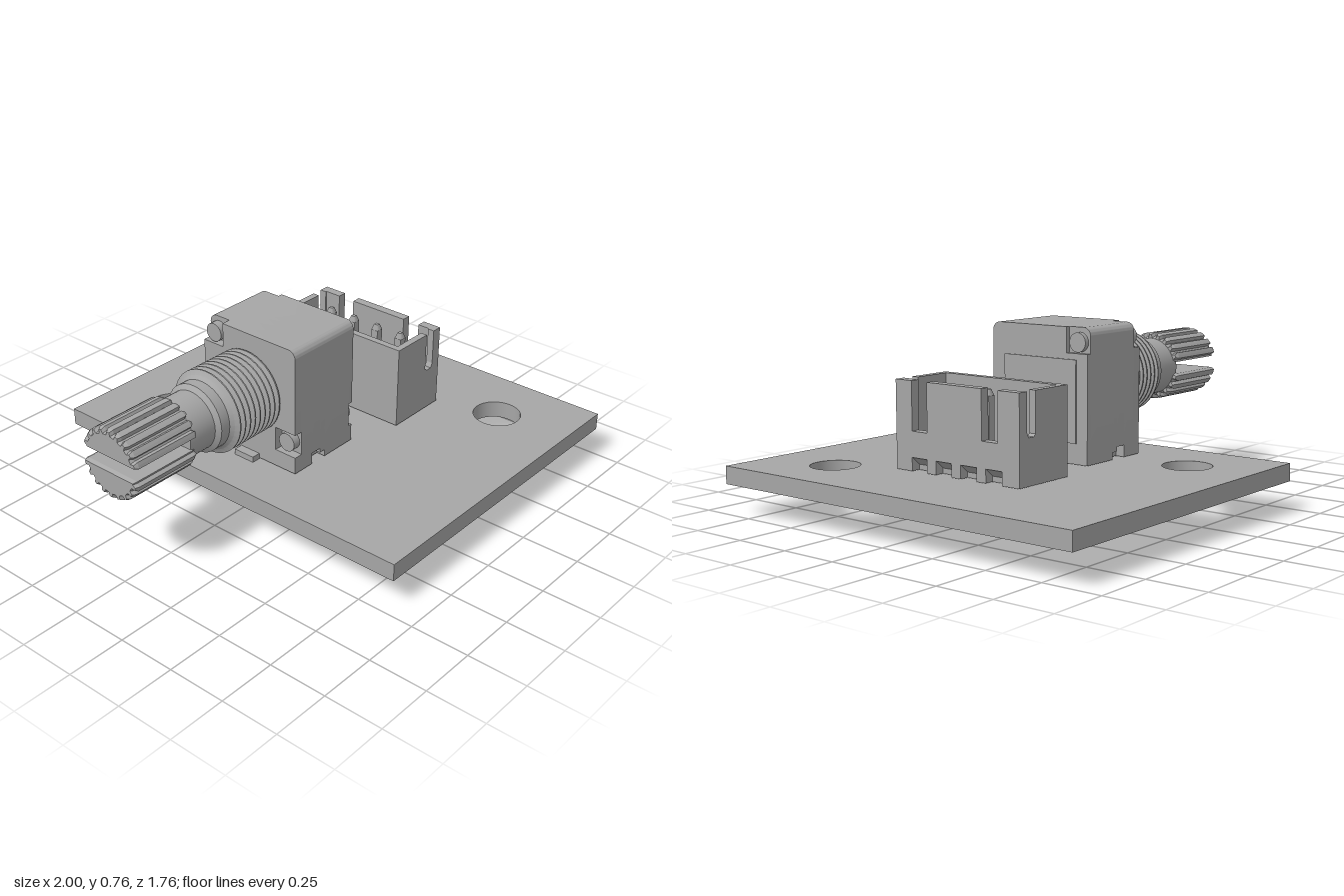
import * as THREE from 'three';
import { toCreasedNormals } from 'three/addons/utils/BufferGeometryUtils.js';

const AXIS_Y = 0.513, AXIS_Z = -0.04;

export function createModel() {
  const model = new THREE.Group();
  const grey = new THREE.MeshStandardMaterial({ color: 0xa6a6a6 });

  const add = (name, geometry, x = 0, y = 0, z = 0, parent = model) => {
    const mesh = new THREE.Mesh(geometry, grey);
    mesh.name = name;
    mesh.position.set(x, y, z);
    parent.add(mesh);
    return mesh;
  };
  const group = (name) => {
    const g = new THREE.Group();
    g.name = name;
    model.add(g);
    return g;
  };
  // box given by its lower and upper corners
  const box = (name, [x0, y0, z0], [x1, y1, z1], parent) =>
    add(name, new THREE.BoxGeometry(x1 - x0, y1 - y0, z1 - z0),
      (x0 + x1) / 2, (y0 + y1) / 2, (z0 + z1) / 2, parent);
  const polygon = (pts) => new THREE.Shape(pts.map(([a, b]) => new THREE.Vector2(a, b)));
  // shape drawn as (-z, y), swept from x0 to x1
  const sweepX = (shape, x0, x1, options = {}) =>
    new THREE.ExtrudeGeometry(shape, { depth: x1 - x0, bevelEnabled: false, curveSegments: 10, ...options })
      .rotateY(Math.PI / 2).translate(x0, 0, 0);
  // shape drawn as (x, y), swept from z0 to z1
  const sweepZ = (shape, z0, z1) =>
    new THREE.ExtrudeGeometry(shape, { depth: z1 - z0, bevelEnabled: false }).translate(0, 0, z0);

  // circuit board with two mounting holes
  const board = polygon([[-0.46, -0.88], [1, -0.88], [1, 0.88], [-0.46, 0.88]]);
  for (const [x, z] of [[-0.155, -0.58], [0.715, 0.545]]) {
    board.holes.push(new THREE.Path().absarc(x, -z, 0.103, 0, Math.PI * 2, true));
  }
  const boardGeo = new THREE.ExtrudeGeometry(board, { depth: 0.075, bevelEnabled: false, curveSegments: 24 });
  add('board', toCreasedNormals(boardGeo.rotateX(-Math.PI / 2), 0.6), 0, 0.125, 0);

  // housing: slices along x, some with notched corners or a raised lower edge
  const housing = group('housing');
  const profile = (corners, lift) => {
    const s = new THREE.Shape(), l = -0.205, r = 0.285, top = 0.76, c = 0.035;
    const floor = 0.205;
    if (lift) {
      s.moveTo(l + 0.04, floor);
      s.lineTo(r - 0.04, floor).lineTo(r - 0.04, lift).lineTo(r, lift);
    } else {
      s.moveTo(l, floor);
      s.lineTo(r, floor);
    }
    if (corners) {
      s.lineTo(r, 0.655).lineTo(0.18, 0.655).lineTo(0.18, top);
    } else {
      s.lineTo(r, top - c).absarc(r - c, top - c, c, 0, Math.PI / 2);
    }
    s.lineTo(l + c, top).absarc(l + c, top - c, c, Math.PI / 2, Math.PI);
    if (corners) s.lineTo(l, 0.385).lineTo(-0.1, 0.385).lineTo(-0.1, 0.28).lineTo(l, 0.28);
    if (lift) s.lineTo(l, lift).lineTo(l + 0.04, lift);
    return s;
  };
  const slices = [
    [-0.235, -0.195, true, 0], [-0.195, -0.13, false, 0], [-0.13, -0.08, false, 0.255],
    [-0.08, -0.05, false, 0.235], [-0.05, 0.105, false, 0], [0.105, 0.125, true, 0],
  ];
  for (const [x0, x1, corners, lift] of slices) {
    add('housingShell', toCreasedNormals(sweepX(profile(corners, lift), x0, x1), 0.5), 0, 0, 0, housing);
  }
  box('backPanel', [0.12, 0.29, -0.23], [0.13, 0.63, 0.14], housing);
  box('frontTab', [-0.275, 0.2, -0.09], [-0.23, 0.225, 0.01], housing);
  // rivets in the notched corners
  for (const [y, z] of [[0.7, -0.235], [0.333, 0.155]]) {
    for (const [x, length] of [[-0.21, 0.04], [0.113, 0.026]]) {
      const rivet = new THREE.CylinderGeometry(0.04, 0.04, length, 20).rotateZ(Math.PI / 2);
      add('rivet', rivet, x, y, z, housing);
    }
  }

  // threaded bushing and plain neck, turned around the shaft axis
  const turned = [[0.001, -0.7], [0.125, -0.7], [0.125, -0.565], [0.145, -0.55], [0.145, -0.505], [0.158, -0.49]];
  const turns = 9, pitch = 0.255 / turns;
  for (let i = 0; i < turns; i++) {
    const x = -0.49 + i * pitch;
    turned.push([0.178, x + pitch * 0.35], [0.178, x + pitch * 0.55], [0.152, x + pitch]);
  }
  const lathe = new THREE.LatheGeometry(turned.map(([r, x]) => new THREE.Vector2(r, x)), 40);
  add('threadedBushing', toCreasedNormals(lathe.rotateZ(-Math.PI / 2), 0.4), 0, AXIS_Y, AXIS_Z);

  // splined shaft end, two halves with a slot between
  const teeth = 9, half = 0.026, R = 0.15, r = 0.134;
  const start = Math.asin(half / r);
  const outline = [];
  for (let i = 0; i < teeth; i++) {
    const step = (Math.PI - 2 * start) / teeth;
    [[0, r], [0.2, r], [0.32, R], [0.6, R], [0.88, R], [1, r]].forEach(([f, rad]) => {
      const a = start + (i + f) * step;
      if (f < 1 || i === teeth - 1) outline.push([Math.cos(a) * rad, Math.sin(a) * rad]);
    });
  }
  for (const turn of [0, Math.PI]) {
    const geo = sweepX(polygon(outline), -0.985, -0.695, {
      bevelEnabled: true, bevelThickness: 0.015, bevelSize: 0.008, bevelOffset: -0.008, bevelSegments: 1,
    });
    add('splinedShaft', geo.rotateX(turn), 0, AXIS_Y, AXIS_Z);
  }

  // solder legs of the housing, thin bent strips with rounded ends
  for (const [z, bend] of [[0.09, 0], [-0.04, 0.022], [-0.17, 0]]) {
    const strip = polygon([[0.008, 0.13], [-0.008 - bend * 0.2, 0.085], [0.016, 0.018],
      [0.025, 0.018], [0.006 + bend * 0.2, 0.085], [0.024, 0.13]]);
    add('housingLeg', sweepZ(strip, z - 0.0225, z + 0.0225));
    const tip = new THREE.CylinderGeometry(0.0225, 0.0225, 0.01, 16).rotateZ(Math.PI / 2);
    add('housingLegTip', tip, 0.02, 0.0225, z);
  }

  // pin header: open box with slotted walls
  const header = group('header');
  const pinZ = [-0.225, -0.098, 0.03, 0.157];
  const bottom = 0.205, top = 0.565;
  box('headerFloor', [0.35, bottom, -0.34], [0.59, 0.27, 0.27], header);
  box('headerSideWall', [0.34, bottom, -0.35], [0.37, top, 0.28], header);
  const endWall = polygon([[0.34, bottom], [0.63, bottom], [0.63, top], [0.585, top], [0.585, 0.41],
    [0.575, 0.39], [0.545, 0.39], [0.535, 0.4], [0.535, top], [0.34, top]]);
  add('headerEndWall', sweepZ(endWall, 0.25, 0.28), 0, 0, 0, header);
  add('headerEndWall', sweepZ(endWall, -0.35, -0.32), 0, 0, 0, header);

  // outer wall: notches along the bottom, two deep slots from the top
  const wall = [[-0.28, bottom]];
  for (const z of [...pinZ].reverse()) {
    wall.push([-z - 0.04, bottom], [-z - 0.04, 0.26], [-z + 0.04, 0.26], [-z + 0.04, bottom]);
  }
  wall.push([0.35, bottom], [0.35, top]);
  for (const z of [-0.205, 0.155]) {
    wall.push([-z + 0.04, top], [-z + 0.04, 0.365], [-z - 0.04, 0.365], [-z - 0.04, top]);
  }
  wall.push([-0.28, top]);
  add('headerSlottedWall', sweepX(polygon(wall), 0.59, 0.63), 0, 0, 0, header);

  // contact pins with tapered ends, and the sloped notch ceilings
  const prism = (topR, bottomR, height) =>
    new THREE.CylinderGeometry(topR, bottomR, height, 4).rotateY(Math.PI / 4).toNonIndexed();
  for (const z of pinZ) {
    const wedge = polygon([[0.588, 0.225], [0.63, 0.262], [0.588, 0.262]]);
    add('notchCeiling', sweepZ(wedge, z - 0.04, z + 0.04), 0, 0, 0, header);
    box('pin', [0.495, 0.055, z - 0.0165], [0.528, 0.52, z + 0.0165], header);
    add('pinTop', prism(0.012, 0.0233, 0.025), 0.5115, 0.5325, z, header);
    add('pinTip', prism(0.0233, 0.011, 0.025), 0.5115, 0.0425, z, header);
  }
  return model;
}
